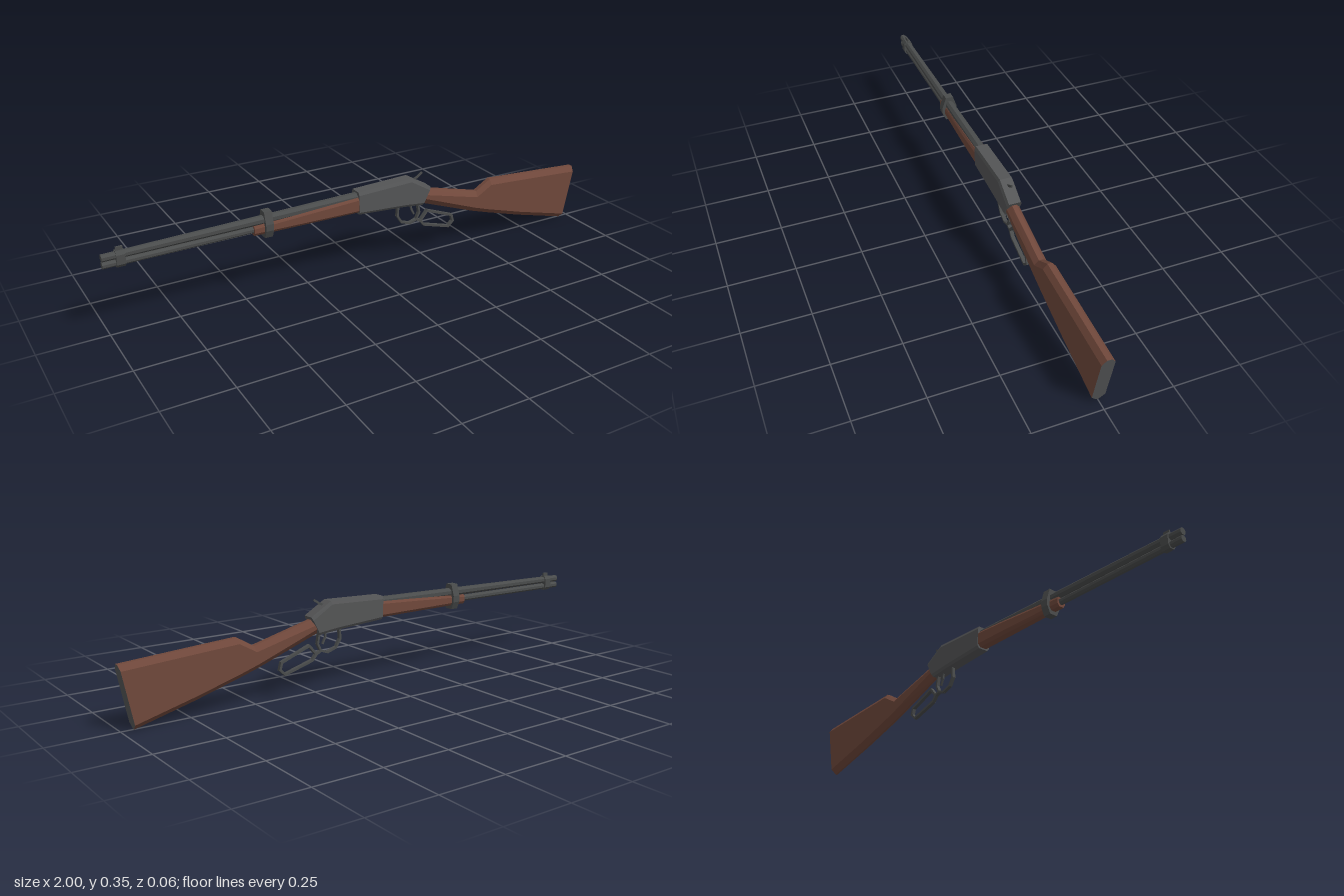
import * as THREE from 'three';

const material = (name, color) => {
  const m = new THREE.MeshStandardMaterial({ color });
  m.name = name;
  return m;
};

// Chamfered body along x. Each section: [topX, topY, bottomX, bottomY, halfWidth].
// Shape: top half width ratio and drop, bottom half width ratio and rise.
function loft(sections, { topW = 0.8, topC = 0.012, botW = 0.8, botC = 0.012 }) {
  const rings = sections.map(([xt, yt, xb, yb, w]) => {
    const p = (y, z) => [xb + ((xt - xb) * (y - yb)) / (yt - yb), y, z];
    const half = [[yt, w * topW], [yt - topC, w], [yb + botC, w], [yb, w * botW]];
    return [...half.map(([y, z]) => p(y, z)), ...half.reverse().map(([y, z]) => p(y, -z))];
  });
  const pos = [];
  const tri = (...pts) => pts.forEach((p) => pos.push(...p));
  const first = rings[0], last = rings[rings.length - 1];
  for (let s = 0; s < rings.length - 1; s++) {
    for (let i = 0; i < 8; i++) {
      const j = (i + 1) % 8;
      tri(rings[s][i], rings[s][j], rings[s + 1][j]);
      tri(rings[s][i], rings[s + 1][j], rings[s + 1][i]);
    }
  }
  for (let i = 1; i < 7; i++) tri(first[0], first[i + 1], first[i]);
  const body = pos.length / 3;
  for (let i = 1; i < 7; i++) tri(last[0], last[i], last[i + 1]);
  const g = new THREE.BufferGeometry();
  g.setAttribute('position', new THREE.Float32BufferAttribute(pos, 3));
  g.computeVertexNormals();
  // group 0 is the body, group 1 the rear face
  g.addGroup(0, body, 0);
  g.addGroup(body, 18, 1);
  return g;
}

// Faceted tube from the muzzle back, given end heights and radii
function tube(x0, y0, r0, x1, y1, r1) {
  const a = new THREE.Vector3(x0, y0, 0), b = new THREE.Vector3(x1, y1, 0);
  const g = new THREE.CylinderGeometry(r1, r0, a.distanceTo(b), 8).toNonIndexed();
  g.rotateY(Math.PI / 8);
  g.computeVertexNormals();
  g.rotateZ(Math.atan2(y1 - y0, x1 - x0) - Math.PI / 2);
  g.translate((x0 + x1) / 2, (y0 + y1) / 2, 0);
  return g;
}

// Flat metal strip bent through a list of points in the xy plane
function strip(name, points, thick, depth, mat) {
  const group = new THREE.Group();
  group.name = name;
  for (let i = 0; i < points.length - 1; i++) {
    const [x0, y0] = points[i], [x1, y1] = points[i + 1];
    const length = Math.hypot(x1 - x0, y1 - y0) + thick * 0.5;
    const m = new THREE.Mesh(new THREE.BoxGeometry(length, thick, depth), mat);
    m.name = name + 'Segment';
    m.position.set((x0 + x1) / 2, (y0 + y1) / 2, 0);
    m.rotation.z = Math.atan2(y1 - y0, x1 - x0);
    group.add(m);
  }
  return group;
}

export function createModel() {
  const root = new THREE.Group();
  root.name = 'leverRifle';
  const wood = material('walnut', 0x70483b);
  const steel = material('receiverSteel', 0x545556);
  const dark = material('darkSteel', 0x4a4c4c);

  const add = (name, geometry, mat) => {
    const m = new THREE.Mesh(geometry, mat);
    m.name = name;
    root.add(m);
  };

  // Wooden stock with a steel rear face
  add('stock', loft([
    [0.24, 0.287, 0.21, 0.236, 0.024],
    [0.505, 0.218, 0.49, 0.134, 0.024],
    [0.57, 0.257, 0.56, 0.112, 0.024],
    [0.75, 0.246, 0.73, 0.062, 0.024],
    [1.0, 0.23, 0.955, 0.003, 0.024],
  ], { topW: 0.35, topC: 0.02, botW: 0.15, botC: 0.02 }), [wood, steel]);

  // Wooden fore end
  add('foreEnd', loft([
    [-0.46, 0.288, -0.46, 0.251, 0.018],
    [-0.17, 0.305, -0.17, 0.25, 0.025],
    [-0.03, 0.312, -0.03, 0.249, 0.026],
  ], { topW: 0.75, topC: 0.009, botW: 0.55, botC: 0.011 }), [wood, wood]);

  // Receiver
  add('receiver', loft([
    [-0.043, 0.333, -0.04, 0.243, 0.028],
    [0.19, 0.341, 0.16, 0.23, 0.028],
    [0.276, 0.291, 0.24, 0.221, 0.028],
  ], { topW: 0.8, topC: 0.012, botW: 0.75, botC: 0.01 }), [steel, steel]);

  // Barrel above, magazine tube below
  add('barrel', tube(-1, 0.295, 0.0135, -0.03, 0.308, 0.019), dark);
  add('magazineTube', tube(-1, 0.268, 0.0125, -0.4, 0.272, 0.0125), dark);

  // Bands and sights
  add('foreEndBand', loft([
    [-0.421, 0.336, -0.421, 0.236, 0.03],
    [-0.391, 0.336, -0.391, 0.236, 0.03],
  ], { topW: 0.5, topC: 0.045, botW: 0.55, botC: 0.03 }), [dark, dark]);
  add('muzzleBand', loft([
    [-0.953, 0.312, -0.953, 0.253, 0.018],
    [-0.922, 0.312, -0.922, 0.253, 0.018],
  ], { topW: 0.5, topC: 0.012, botW: 0.5, botC: 0.012 }), [dark, dark]);
  const sight = new THREE.BoxGeometry(0.025, 0.018, 0.006);
  sight.translate(-0.937, 0.316, 0);
  add('frontSight', sight, dark);

  // Trigger guard, lever loop, trigger and hammer
  root.add(strip('triggerGuard', [
    [0.142, 0.235], [0.139, 0.19], [0.158, 0.16], [0.195, 0.147],
    [0.225, 0.157], [0.238, 0.185], [0.23, 0.23],
  ], 0.008, 0.014, dark));
  root.add(strip('leverLoop', [
    [0.225, 0.157], [0.245, 0.147], [0.275, 0.183], [0.392, 0.138],
    [0.399, 0.112], [0.378, 0.092], [0.262, 0.126], [0.245, 0.147],
  ], 0.009, 0.014, dark));
  root.add(strip('trigger', [[0.2, 0.235], [0.203, 0.205], [0.215, 0.182]], 0.007, 0.007, dark));
  root.add(strip('hammer', [[0.2, 0.322], [0.225, 0.332], [0.248, 0.347]], 0.008, 0.005, dark));

  return root;
}
